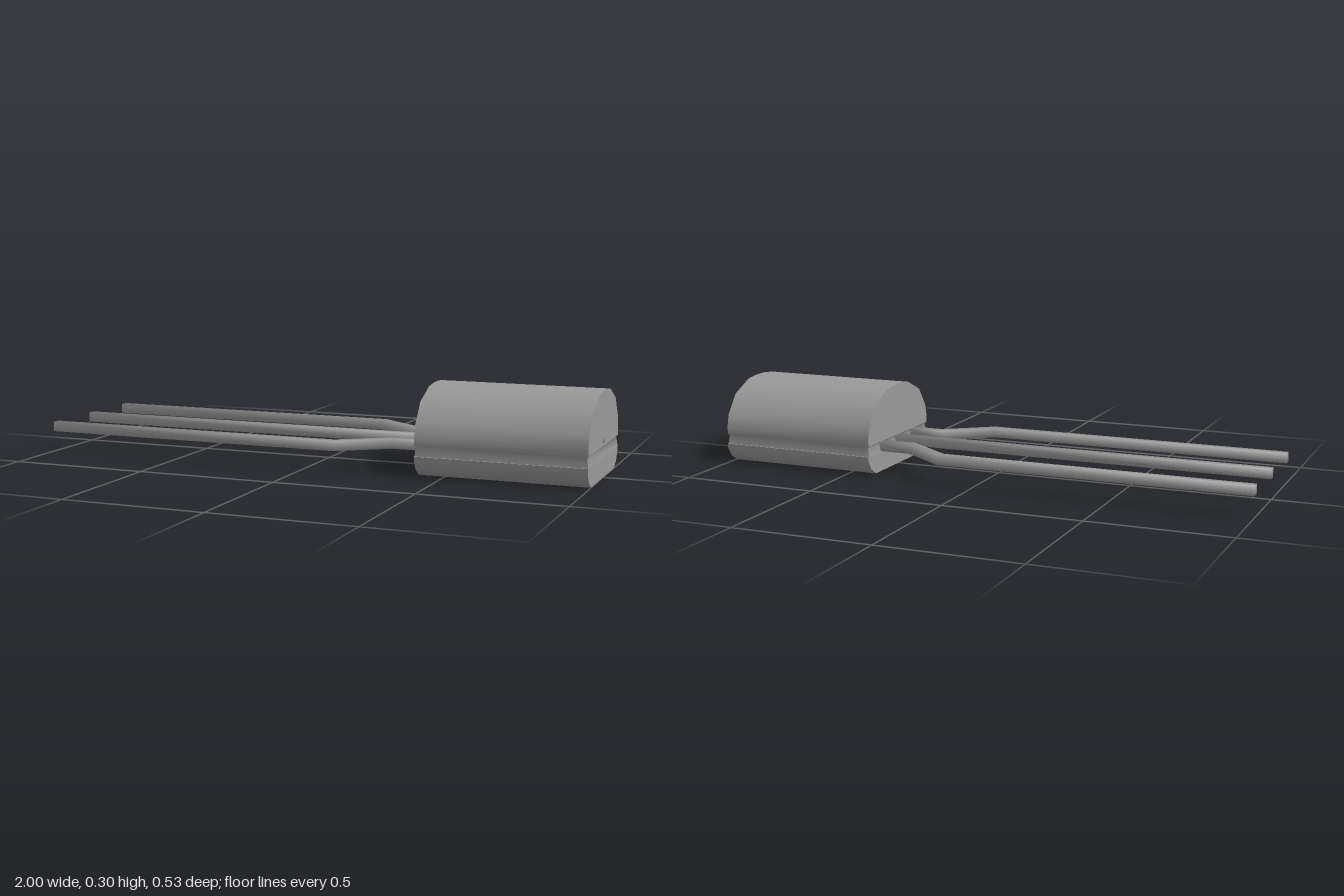
import * as THREE from 'three';
import { toCreasedNormals } from 'three/addons/utils/BufferGeometryUtils.js';

const BACK = 0.408, END = 1, CENTRE_Z = 0.0035;
const LEAD_TOP = 0.11, LEAD_H = 0.035, LEAD_HALF = 0.0165;
const material = new THREE.MeshStandardMaterial({ color: 0x999999 });

function part(name, geometry, crease) {
  const mesh = new THREE.Mesh(toCreasedNormals(geometry, crease), material);
  mesh.name = name;
  return mesh;
}

// Symmetric cross-section from half-profile points [halfWidth, y]
function symmetricShape(half) {
  const points = half.map(([w, y]) => new THREE.Vector2(w, y));
  const mirrored = half.map(([w, y]) => new THREE.Vector2(-w, y)).reverse();
  return new THREE.Shape([...points, ...mirrored]);
}

// Cross-section swept along the length of the case
function sweep(shape) {
  return new THREE.ExtrudeGeometry(shape, { depth: END - BACK, bevelEnabled: false })
    .rotateY(Math.PI / 2)
    .translate(BACK, 0, CENTRE_Z);
}

// Square wire following a path of [x, z], with mitred bends
function lead(name, path) {
  const bend = path.length > 2
    ? Math.atan2(path[1][1] - path[2][1], path[2][0] - path[1][0]) : 0;
  const side = (sign) => path.map(([x, z], i) => {
    const inner = i > 0 && i < path.length - 1;
    const shift = inner ? sign * LEAD_HALF * Math.tan(bend / 2) : 0;
    return new THREE.Vector2(x + shift, z + sign * LEAD_HALF);
  });
  const shape = new THREE.Shape([...side(1), ...side(-1).reverse()]);
  const geometry = new THREE.ExtrudeGeometry(shape, { depth: LEAD_H, bevelEnabled: false })
    .rotateX(Math.PI / 2)
    .translate(0, LEAD_TOP, 0);
  return part(name, geometry, 1.6);
}

export function createModel() {
  const group = new THREE.Group();
  group.name = 'transistor';

  // Domed upper case with a small rectangular recess in its end
  const dome = symmetricShape([
    [0.24, 0.11], [0.2445, 0.13], [0.232, 0.18], [0.18, 0.251], [0.088, 0.293], [0.03, 0.3],
  ]);
  dome.holes.push(new THREE.Path([
    new THREE.Vector2(-0.016, 0.117), new THREE.Vector2(-0.016, 0.132),
    new THREE.Vector2(0.012, 0.132), new THREE.Vector2(0.012, 0.117),
  ]));
  group.add(part('upperCase', sweep(dome), 0.75));

  // Floor of the recess
  const plug = new THREE.BoxGeometry(END - BACK - 0.02, 0.015, 0.028);
  plug.translate((BACK + END) / 2 - 0.01, 0.1245, CENTRE_Z + 0.002);
  group.add(part('recessFloor', plug, 0.5));

  // Flat-bottomed lower case with rounded sides
  const base = symmetricShape([
    [0.187, 0], [0.222, 0.022], [0.2425, 0.055], [0.2445, 0.072],
  ]);
  group.add(part('lowerCase', sweep(base), 0.75));

  // Four-sided band with a shallow groove just below the upper case
  const bandProfile = [[1, 0.072], [0.984, 0.104], [1, 0.11]]
    .map(([r, y]) => new THREE.Vector2(r * Math.SQRT2, y));
  const band = new THREE.LatheGeometry(bandProfile, 4, Math.PI / 4)
    .scale((END - BACK) / 2, 1, 0.24)
    .translate((BACK + END) / 2, 0, CENTRE_Z);
  group.add(part('grooveBand', band, 0.85));

  // Three leads, the outer two splayed
  group.add(lead('middleLead', [[-1, -0.002], [BACK + 0.03, -0.002]]));
  const outer = [[-1, 0.249], [0.12, 0.249], [0.287, 0.128], [BACK + 0.03, 0.128]];
  group.add(lead('frontLead', outer));
  group.add(lead('rearLead', outer.map(([x, z]) => [x, -z])));

  return group;
}
